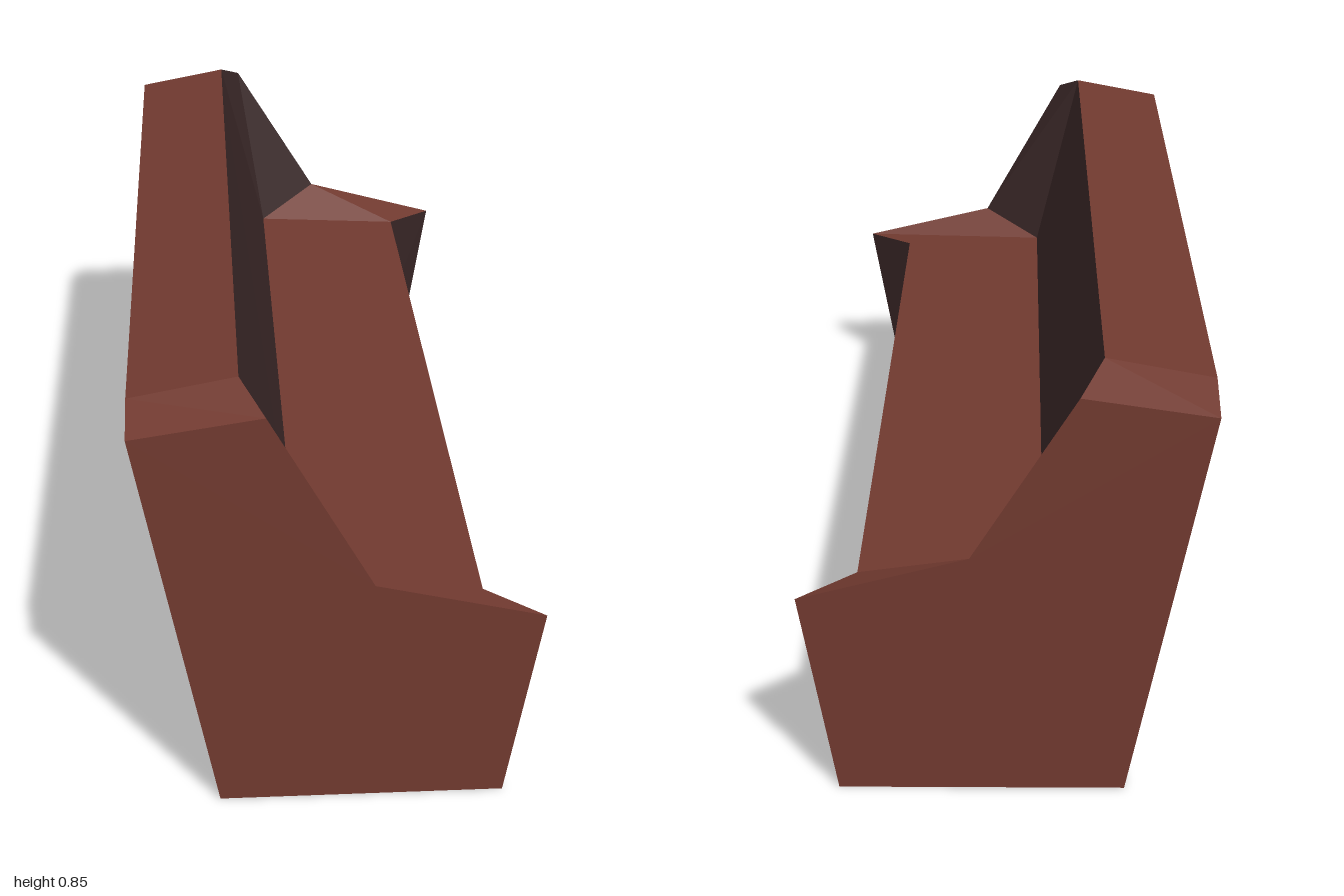
import * as THREE from 'three';

const mat = (name, color) => {
  const m = new THREE.MeshStandardMaterial({ color });
  m.name = name;
  return m;
};

export function createModel() {
  const wood = mat('reddish wood', 0x70392f);
  const dark = mat('dark wood', 0x382626);
  const grey = mat('grey underside', 0x888880);
  const group = new THREE.Group();
  group.name = 'bench';

  // Profiles run from the back foot: front foot, seat front, seat back, crest front, crest back
  const outer = (front, elbow) => [[-0.23, 0], [0.31, 0], [0.377, front], [0.06, elbow], [-0.135, 0.812], [-0.38, 0.775]];
  const inner = (dy) => [[-0.23, 0], [0.21, 0], [0.27, 0.405 + dy], [-0.075, 0.422 + dy], [-0.18, 0.85], [-0.38, 0.812]];
  const ring = (z, profile) => profile.map(([x, y]) => [x, y, z]);
  const rings = [
    ring(1, outer(0.39, 0.465)),
    ring(0.91, inner(-0.01)),
    ring(0.82, inner(-0.009)),
    ring(-0.82, inner(0.009)),
    ring(-0.91, inner(0.01)),
    ring(-1, outer(0.41, 0.495)),
  ];

  const addMesh = (name, corners, material) => {
    const geo = new THREE.BufferGeometry();
    geo.setAttribute('position', new THREE.Float32BufferAttribute(corners.flat(), 3));
    geo.computeVertexNormals();
    const mesh = new THREE.Mesh(geo, material);
    mesh.name = name;
    group.add(mesh);
  };

  // One lengthwise strip between chosen rings, along profile edge i
  const addStrip = (name, i, spans, material) => {
    const corners = [];
    const j = (i + 1) % 6;
    for (const s of spans) {
      const a = rings[s], b = rings[s + 1];
      corners.push(a[i], b[i], b[j], a[i], b[j], a[j]);
    }
    addMesh(name, corners, material);
  };

  const all = [0, 1, 2, 3, 4];
  const ends = [0, 1, 3, 4];
  addStrip('endUndersides', 0, ends, grey);
  addStrip('seatUnderside', 0, [2], wood);
  addStrip('frontPanel', 1, all, dark);
  addStrip('seatAndArmrests', 2, all, wood);
  addStrip('backrest', 3, all, dark);
  addStrip('crest', 4, all, wood);
  addStrip('endBacks', 5, ends, wood);
  addStrip('backPanel', 5, [2], dark);

  // Flat end panels, fanned from the elbow of the armrest
  const fan = [[3, 4, 5], [3, 5, 0], [3, 0, 1], [3, 1, 2]];
  addMesh('leftEndPanel', fan.flat().map((k) => rings[0][k]), wood);
  addMesh('rightEndPanel', fan.flatMap(([a, b, c]) => [a, c, b]).map((k) => rings[5][k]), wood);

  return group;
}
